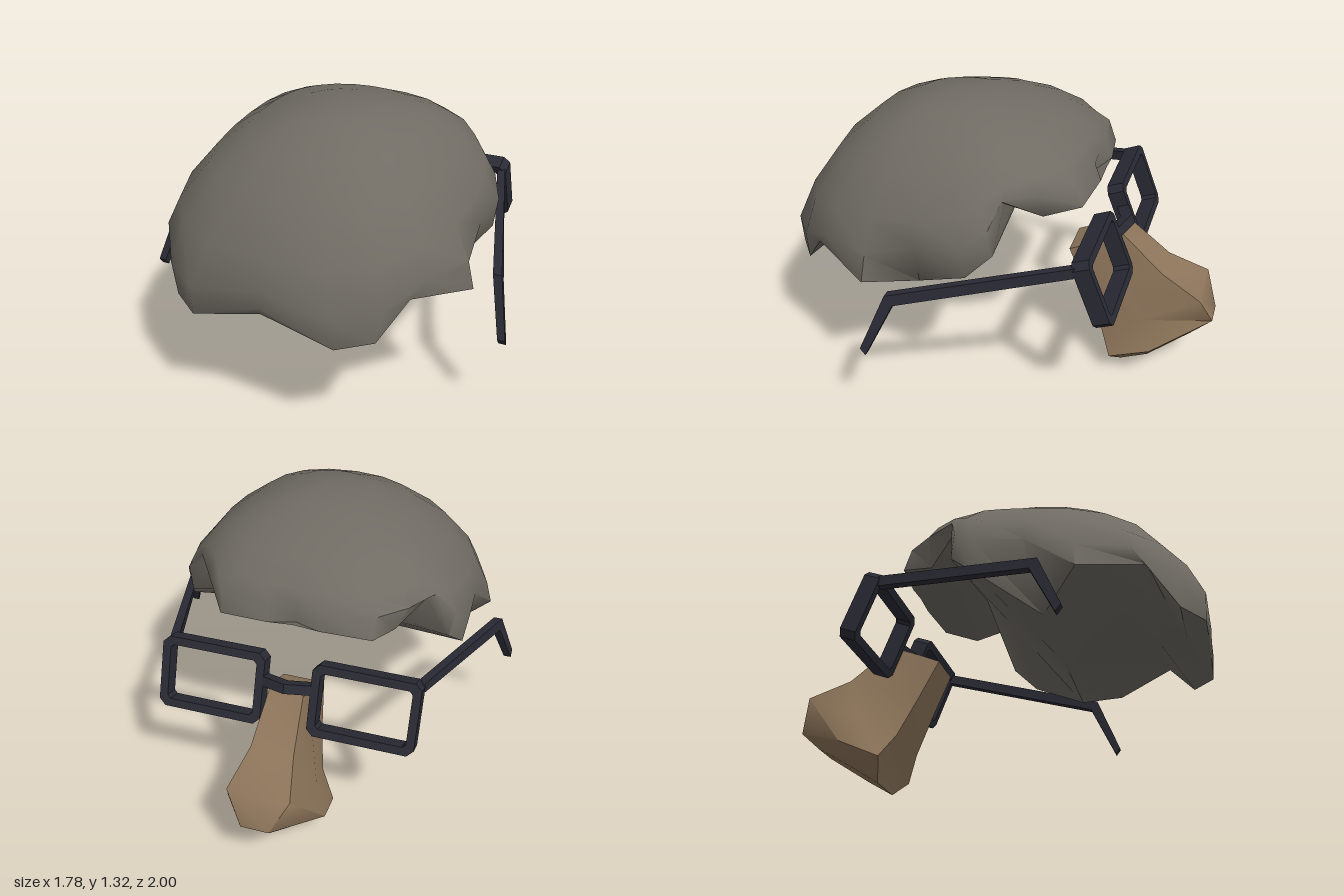
import * as THREE from 'three';
import { toCreasedNormals } from 'three/addons/utils/BufferGeometryUtils.js';

// Solid from points and triangles, wound outward, soft below the crease angle
function solid(points, tris, crease) {
  const v = points.map((p) => new THREE.Vector3(...p));
  let volume = 0;
  for (const [a, b, c] of tris) volume += v[a].dot(v[b].clone().cross(v[c]));
  const index = [];
  for (const [a, b, c] of tris) {
    if (a === b || b === c || a === c) continue;
    index.push(...(volume > 0 ? [a, b, c] : [a, c, b]));
  }
  const g = new THREE.BufferGeometry();
  g.setAttribute('position', new THREE.Float32BufferAttribute(points.flat(), 3));
  g.setIndex(index);
  return toCreasedNormals(g, crease);
}

// Quads joining ring k to ring k + 1, each with n points
function ringQuads(rings, n) {
  const tris = [];
  for (let k = 0; k < rings - 1; k++) {
    for (let j = 0; j < n; j++) {
      const a = k * n + j, b = k * n + ((j + 1) % n);
      tris.push([a, b, b + n], [a, b + n, a + n]);
    }
  }
  return tris;
}

// Closed loft through cross-sections
function loft(sections, crease) {
  const n = sections[0].length, last = (sections.length - 1) * n;
  const tris = ringQuads(sections.length, n);
  for (let j = 1; j < n - 1; j++) tris.push([0, j + 1, j], [last, last + j, last + j + 1]);
  return solid(sections.flat(), tris, crease);
}

// Hair: jagged rim, widest line, rounded crown and closed underside
function hairGeometry() {
  // rim x,y,z | widest x,y,z | underside height at the middle; brow to nape
  const half = [
    [0, 0.98, -0.39, 0, 1.06, -0.40, 0.98],
    [0.12, 0.99, -0.44, 0.12, 1.07, -0.41, 1.0],
    [0.35, 0.97, -0.41, 0.36, 1.07, -0.37, 1.0],
    [0.41, 0.93, -0.25, 0.47, 1.06, -0.25, 1.02],
    [0.52, 1.03, -0.11, 0.56, 1.06, -0.11, 1.04],
    [0.63, 0.83, -0.09, 0.65, 0.95, -0.07, 0.95],
    [0.68, 0.73, 0.02, 0.70, 0.87, 0.02, 0.82],
    [0.52, 0.56, 0.30, 0.69, 0.85, 0.25, 0.56],
    [0.745, 0.66, 0.48, 0.715, 0.78, 0.47, 0.58],
    [0.57, 0.72, 0.76, 0.62, 0.79, 0.70, 0.60],
    [0.47, 0.555, 0.88, 0.50, 0.70, 0.87, 0.61],
    [0.33, 0.545, 0.98, 0.33, 0.68, 0.99, 0.63],
    [0, 0.665, 0.995, 0, 0.74, 0.99, 0.665],
  ];
  const m = half.length - 1, n = 2 * m;
  const at = (j) => (j <= m ? half[j] : half[n - j]);
  const side = (j) => (j <= m ? 1 : -1);
  const apex = [0.05, 1.32, 0.26];
  const points = [];
  let wide = [];
  for (let j = 0; j < n; j++) {
    const [rx, ry, rz, x, y, z] = at(j);
    points.push([side(j) * rx, ry, rz]);
    wide.push([side(j) * x, y, z]);
  }
  const angles = [90, 70, 51, 34, 17];
  for (const deg of angles) {
    const s = Math.sin(deg * Math.PI / 180);
    const c = Math.cos(deg * Math.PI / 180) ** 1.25;
    for (const [x, y, z] of wide) {
      points.push([
        apex[0] + (x - apex[0]) * s,
        y + (apex[1] - y) * c,
        apex[2] + (z - apex[2]) * s,
      ]);
    }
    // even out the jagged outline towards the crown
    const w = wide;
    wide = w.map((p, j) => p.map((v, i) => (w[(j + n - 1) % n][i] + 2 * v + w[(j + 1) % n][i]) / 4));
  }
  const tris = ringQuads(angles.length + 1, n);
  // crown
  const top = points.push(apex) - 1;
  for (let j = 0; j < n; j++) tris.push([top - n + j, top - n + ((j + 1) % n), top]);
  // underside strips, from rim to rim over a middle line
  const mid = half.map((h, i) => (i === 0 || i === m ? i : points.push([0, h[6], h[2]]) - 1));
  for (let i = 0; i < m; i++) {
    const a = i, b = i + 1, ma = mid[a], mb = mid[b], a2 = (n - a) % n, b2 = n - b;
    tris.push([b, a, ma], [b, ma, mb], [mb, ma, a2], [mb, a2, b2]);
  }
  return solid(points, tris, 1.1);
}

// Nose: slices from bridge to nostrils
function noseGeometry() {
  // back y,z | front y,z | half widths at back, middle, front
  const slices = [
    [0.59, -0.30, 0.70, -0.55, 0.10, 0.10, 0.08],
    [0.40, -0.39, 0.53, -0.75, 0.12, 0.12, 0.10],
    [0.21, -0.48, 0.44, -0.94, 0.15, 0.18, 0.145],
    [0.09, -0.54, 0.29, -1.0, 0.22, 0.238, 0.065],
    [0.0, -0.58, 0.20, -0.90, 0.10, 0.14, 0.07],
  ];
  return loft(slices.map(([by, bz, fy, fz, wb, wm, wf]) => {
    const my = by + (fy - by) * 0.42, mz = bz + (fz - bz) * 0.42;
    return [[wb, by, bz], [wm, my, mz], [wf, fy, fz], [-wf, fy, fz], [-wm, my, mz], [-wb, by, bz]];
  }), 1.2);
}

// Rectangle with cut corners
function cutRect(path, w, h, c) {
  path.moveTo(-w + c, -h);
  path.lineTo(w - c, -h);
  path.lineTo(w, -h + c);
  path.lineTo(w, h - c);
  path.lineTo(w - c, h);
  path.lineTo(-w + c, h);
  path.lineTo(-w, h - c);
  path.lineTo(-w, -h + c);
  path.closePath();
  return path;
}

export function createModel() {
  const material = (name, color) => {
    const mat = new THREE.MeshStandardMaterial({ color });
    mat.name = name;
    return mat;
  };
  const hairMat = material('grey hair', 0x706c64);
  const skinMat = material('tan skin', 0x8d755a);
  const frameMat = material('dark frame', 0x2a2a35);

  const model = new THREE.Group();
  model.name = 'disguise';
  const add = (parent, name, geometry, mat) => {
    const mesh = new THREE.Mesh(geometry, mat);
    mesh.name = name;
    parent.add(mesh);
    return mesh;
  };

  add(model, 'hair', hairGeometry(), hairMat);
  add(model, 'nose', noseGeometry(), skinMat);

  const glasses = new THREE.Group();
  glasses.name = 'glasses';
  model.add(glasses);

  // Lens frame, tilted so its lower edge leans forward
  const frame = cutRect(new THREE.Shape(), 0.245, 0.168, 0.03);
  frame.holes.push(cutRect(new THREE.Path(), 0.207, 0.13, 0.015));
  const rimGeometry = new THREE.ExtrudeGeometry(frame, { depth: 0.08, bevelEnabled: false });
  rimGeometry.translate(0, 0, -0.04);

  for (const s of [1, -1]) {
    const label = s > 0 ? 'left' : 'right';
    const rim = add(glasses, label + 'LensFrame', rimGeometry, frameMat);
    rim.position.set(s * 0.355, 0.68, -0.518);
    rim.rotation.x = 0.37;

    // Temple arm with bent ear end: centre and half sizes of each section
    const arm = [
      [0.575, 0.785, -0.44, 0.02, 0.025, 0],
      [0.805, 0.645, 0.32, 0.02, 0.022, 0.018],
      [0.87, 0.395, 0.43, 0.018, 0.016, 0.012],
    ].map(([x, y, z, w, h, d]) => [
      [s * (x - w), y - h, z - d], [s * (x + w), y - h, z - d],
      [s * (x + w), y + h, z + d], [s * (x - w), y + h, z + d],
    ]);
    add(glasses, label + 'Temple', loft(arm, 0.3), frameMat);
  }

  // Bridge, bent forward in the middle and tilted with the lenses
  const bridge = new THREE.Shape([
    [-0.13, -0.03], [0, 0.02], [0.13, -0.03], [0.13, 0.03], [0, 0.08], [-0.13, 0.03],
  ].map(([x, y]) => new THREE.Vector2(x, y)));
  const bridgeGeometry = new THREE.ExtrudeGeometry(bridge, { depth: 0.045, bevelEnabled: false });
  bridgeGeometry.rotateX(0.37 - Math.PI / 2);
  add(glasses, 'bridge', bridgeGeometry, frameMat).position.set(0, 0.7, -0.515);

  return model;
}
